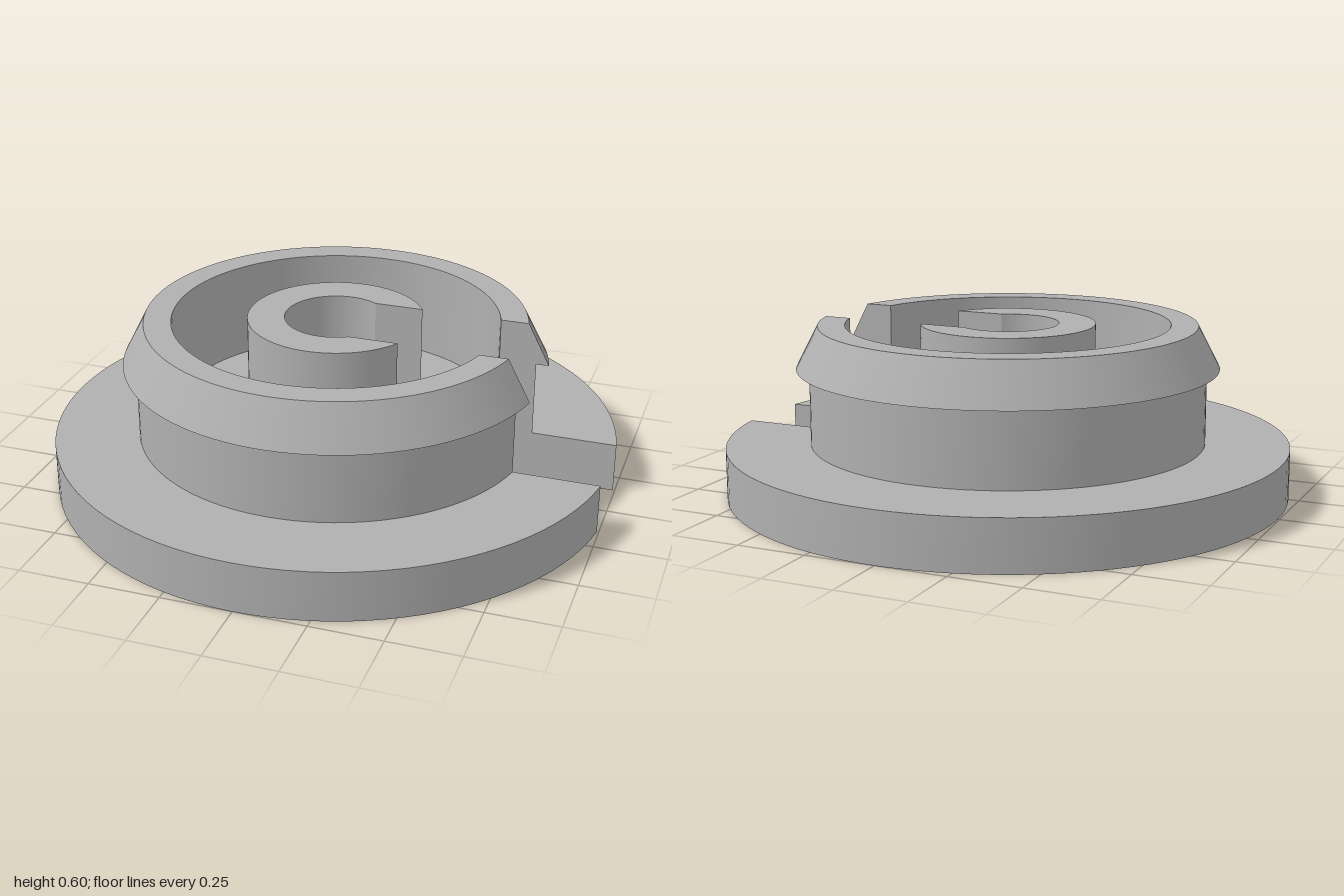
import * as THREE from 'three';

const SLOT = 0.152;    // half width of the slot
const SHIFT = 0.0055;  // centres the slotted disc on x
const SEGMENTS = 96;

// Closed section (radius, height), each run of points belonging to a named part
const SECTION = [
  ['basePlate', [[0.18, 0], [1, 0], [1, 0.18], [0.703, 0.18]]],
  ['collarWall', [[0.703, 0.18], [0.703, 0.45]]],
  ['snapLip', [[0.703, 0.45], [0.748, 0.45], [0.671, 0.6], [0.575, 0.6]]],
  ['collarInside', [[0.575, 0.6], [0.575, 0.25]]],
  ['recessFloor', [[0.575, 0.25], [0.31, 0.25]]],
  ['hub', [[0.31, 0.25], [0.31, 0.6], [0.18, 0.6]]],
  ['bore', [[0.18, 0.6], [0.18, 0]]],
];

// Revolved surface that stops at the flat sides of the slot; each band has its own crisp edges
function revolve(points) {
  const pos = [], index = [];
  for (let k = 0; k < points.length - 1; k++) {
    const base = pos.length / 3;
    for (let j = 0; j <= SEGMENTS; j++) {
      for (const [r, y] of [points[k], points[k + 1]]) {
        const gap = Math.asin(SLOT / r);
        const t = gap + (2 * Math.PI - 2 * gap) * j / SEGMENTS;
        pos.push(r * Math.cos(t), y, r * Math.sin(t));
      }
      if (j < SEGMENTS) {
        const a = base + j * 2;
        index.push(a, a + 1, a + 2, a + 1, a + 3, a + 2);
      }
    }
  }
  const geo = new THREE.BufferGeometry();
  geo.setAttribute('position', new THREE.Float32BufferAttribute(pos, 3));
  geo.setIndex(index);
  geo.computeVertexNormals();
  return geo;
}

// Flat section face on one side of the slot
function slotFace(side) {
  const outline = SECTION.flatMap(([, pts]) => pts.slice(0, -1))
    .map(([r, y]) => new THREE.Vector2(Math.sqrt(r * r - SLOT * SLOT), y));
  const geo = new THREE.ShapeGeometry(new THREE.Shape(outline));
  geo.translate(0, 0, side * SLOT);
  if (side > 0) geo.setIndex(Array.from(geo.index.array).reverse());
  geo.computeVertexNormals();
  return geo;
}

export function createModel() {
  const grey = new THREE.MeshStandardMaterial({ color: 0xb0b0b0 });
  grey.name = 'grey plastic';
  const group = new THREE.Group();
  group.name = 'slottedSnapCap';
  const add = (name, geo) => {
    const mesh = new THREE.Mesh(geo, grey);
    mesh.name = name;
    mesh.position.x = SHIFT;
    group.add(mesh);
  };
  for (const [name, points] of SECTION) add(name, revolve(points));
  add('slotFaceFront', slotFace(1));
  add('slotFaceBack', slotFace(-1));
  return group;
}
